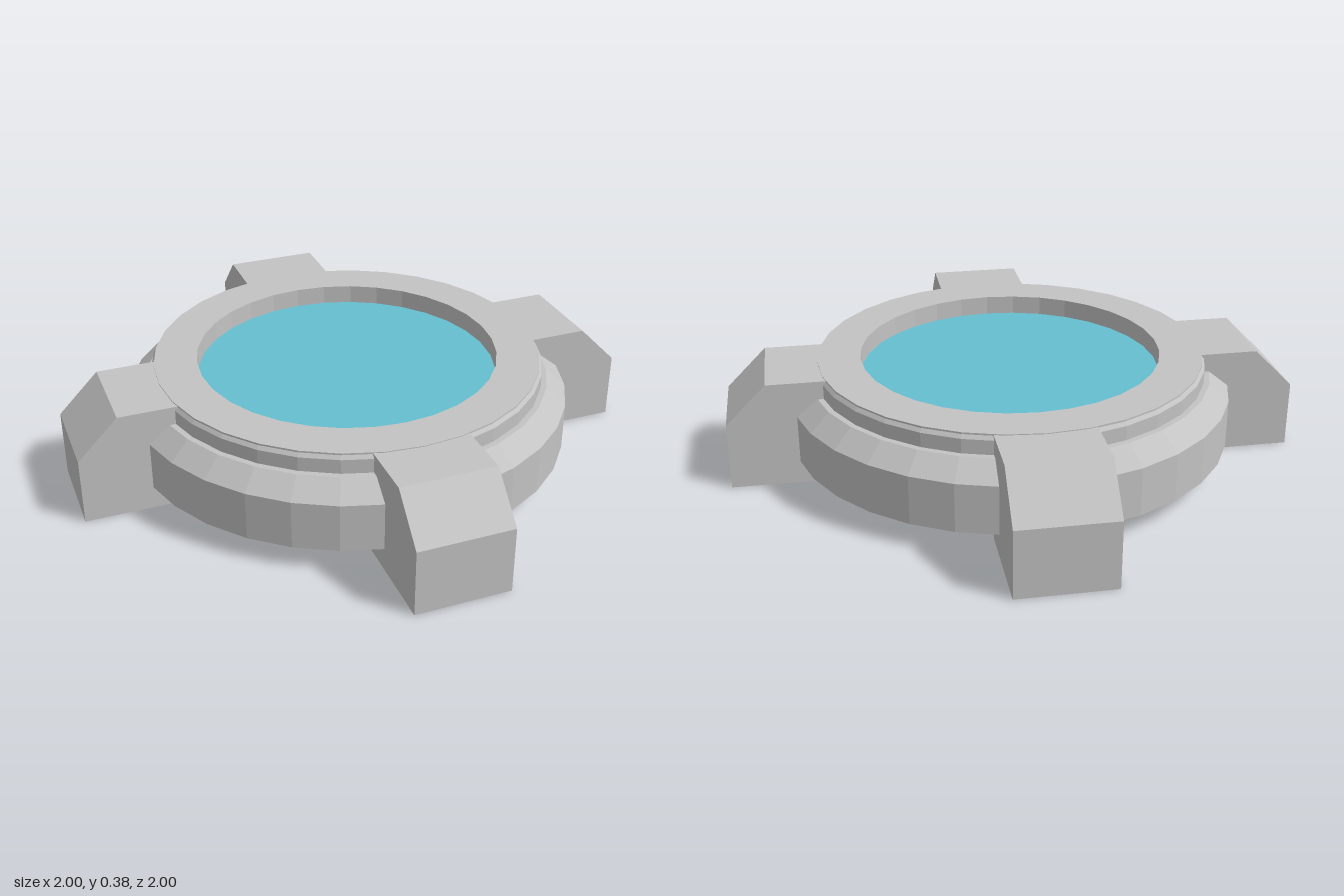
import * as THREE from 'three';

const SIDES = 32;

// Split all faces so that every facet gets its own flat normal
function faceted(geometry) {
  const flat = geometry.toNonIndexed();
  flat.computeVertexNormals();
  return flat;
}

export function createModel() {
  const model = new THREE.Group();
  model.name = 'roundBasin';

  const stone = new THREE.MeshStandardMaterial({ color: 0xc3c3c3 });
  stone.name = 'grey stone';
  const blue = new THREE.MeshStandardMaterial({ color: 0x66bfd0 });
  blue.name = 'water blue';

  const add = (name, geometry, material, parent = model) => {
    const mesh = new THREE.Mesh(geometry, material);
    mesh.name = name;
    parent.add(mesh);
    return mesh;
  };

  // Basin wall: outer drum, sloped shoulder, collar, flat rim and inner wall
  const profile = [
    [0.78, 0.08], [0.78, 0.25], [0.71, 0.31], [0.69, 0.31], [0.69, 0.36],
    [0.68, 0.372], [0.68, 0.378], [0.53, 0.378], [0.53, 0.31],
  ].map(([r, y]) => new THREE.Vector2(r, y));
  add('basinWall', faceted(new THREE.LatheGeometry(profile, SIDES)), stone);

  // Underside
  const base = add('basinBase', new THREE.CircleGeometry(0.78, SIDES).rotateX(Math.PI / 2), stone);
  base.position.y = 0.08;

  // Disc inside the rim
  const water = add('water', new THREE.CircleGeometry(0.53, SIDES).rotateX(-Math.PI / 2), blue);
  water.position.y = 0.31;

  // Four chamfered feet
  const outline = new THREE.Shape([
    [0.655, 0], [1, 0], [1, 0.235], [0.86, 0.375], [0.655, 0.375],
  ].map(([x, y]) => new THREE.Vector2(x, y)));
  const footGeometry = new THREE.ExtrudeGeometry(outline, { depth: 0.33, bevelEnabled: false })
    .translate(0, 0, -0.165);
  ['leftFoot', 'backFoot', 'rightFoot', 'frontFoot'].forEach((name, i) => {
    add(name, footGeometry, stone).rotation.y = i * Math.PI / 2;
  });

  return model;
}
